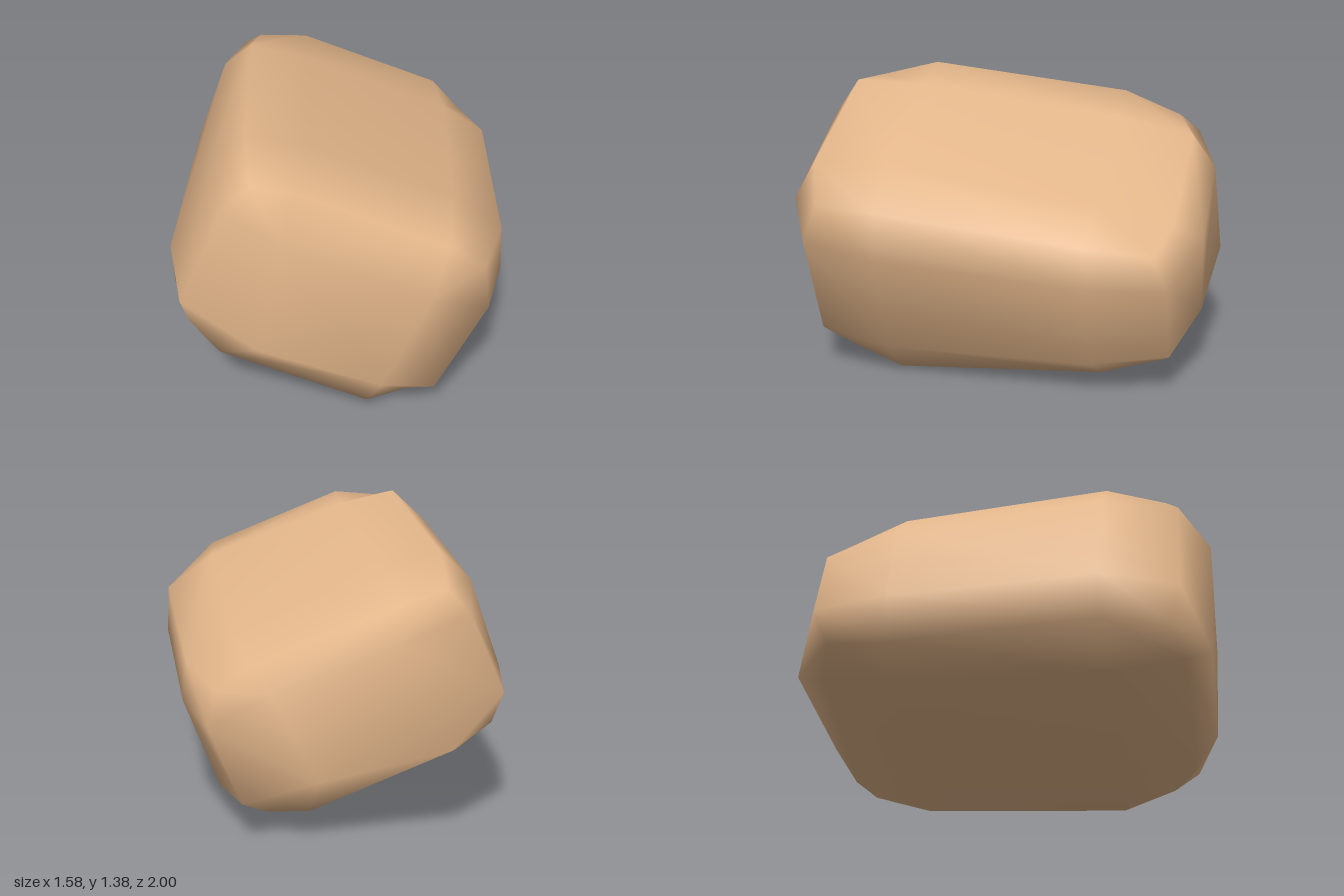
import * as THREE from 'three';

// Cross-sections of a tilted, bevelled block: three points per corner, clockwise from
// the top left. The middle points of the corners sit at midZ, the others at z.
const sections = [
  { z: 0.86, midZ: [0.80, 0.80, 0.74, 0.80], points: [
    [-0.48, 1.21], [-0.36, 1.31], [-0.15, 1.32], [0.53, 1.05], [0.70, 0.89], [0.72, 0.71],
    [0.49, 0.20], [0.36, 0.07], [0.17, 0.10], [-0.53, 0.38], [-0.67, 0.51], [-0.70, 0.68]] },
  { z: 0.50, midZ: [0.51, 0.50, 0.48, 0.50], points: [
    [-0.57, 1.23], [-0.41, 1.38], [-0.13, 1.32], [0.55, 1.06], [0.78, 0.89], [0.79, 0.66],
    [0.58, 0.16], [0.42, 0.00], [0.14, 0.045], [-0.55, 0.33], [-0.78, 0.50], [-0.79, 0.72]] },
  { z: -0.50, midZ: [-0.48, -0.49, -0.52, -0.52], points: [
    [-0.62, 1.13], [-0.48, 1.26], [-0.20, 1.18], [0.51, 0.91], [0.72, 0.77], [0.74, 0.58],
    [0.575, 0.155], [0.38, 0.04], [0.14, 0.085], [-0.55, 0.35], [-0.71, 0.485], [-0.77, 0.70]] },
  { z: -0.86, midZ: [-0.77, -0.79, -0.80, -0.80], points: [
    [-0.55, 1.05], [-0.46, 1.15], [-0.23, 1.10], [0.46, 0.835], [0.60, 0.71], [0.64, 0.56],
    [0.49, 0.19], [0.37, 0.125], [0.18, 0.145], [-0.50, 0.42], [-0.67, 0.52], [-0.71, 0.68]] },
];

// Flat end faces, one point per corner
const frontFace = [[-0.20, 1.13, 1.0], [0.46, 0.85, 0.99], [0.24, 0.30, 0.97], [-0.33, 0.50, 0.98]];
const backFace = [[-0.20, 0.95, -0.98], [0.37, 0.75, -0.99], [0.15, 0.32, -0.97], [-0.45, 0.46, -1.0]];

function buildStone() {
  const vertices = [...frontFace];
  for (const { z, midZ, points } of sections) {
    points.forEach(([x, y], i) => vertices.push([x, y, i % 3 === 1 ? midZ[Math.floor(i / 3)] : z]));
  }
  const backStart = vertices.length;
  vertices.push(...backFace);

  // Vertex i of row r; on the end faces each corner's three points share one vertex
  const lastRow = sections.length + 1;
  const at = (r, i) => {
    const k = i % 12;
    if (r === 0) return Math.floor(k / 3);
    if (r === lastRow) return backStart + Math.floor(k / 3);
    return 4 + (r - 1) * 12 + k;
  };

  const index = [];
  const triangle = (a, b, c) => {
    if (a !== b && b !== c && a !== c) index.push(a, b, c);
  };
  for (let r = 0; r < lastRow; r++) {
    for (let i = 0; i < 12; i++) {
      const a = at(r, i), b = at(r, i + 1), c = at(r + 1, i + 1), d = at(r + 1, i);
      triangle(a, b, c);
      triangle(a, c, d);
    }
  }
  // End faces
  triangle(0, 2, 1);
  triangle(0, 3, 2);
  triangle(backStart, backStart + 1, backStart + 2);
  triangle(backStart, backStart + 2, backStart + 3);

  const geometry = new THREE.BufferGeometry();
  geometry.setAttribute('position', new THREE.Float32BufferAttribute(vertices.flat(), 3));
  geometry.setIndex(index);
  geometry.computeVertexNormals();
  return geometry;
}

export function createModel() {
  const model = new THREE.Group();
  model.name = 'stone';
  const material = new THREE.MeshStandardMaterial({ color: 0xe3b68a });
  const block = new THREE.Mesh(buildStone(), material);
  block.name = 'stoneBlock';
  model.add(block);
  return model;
}
